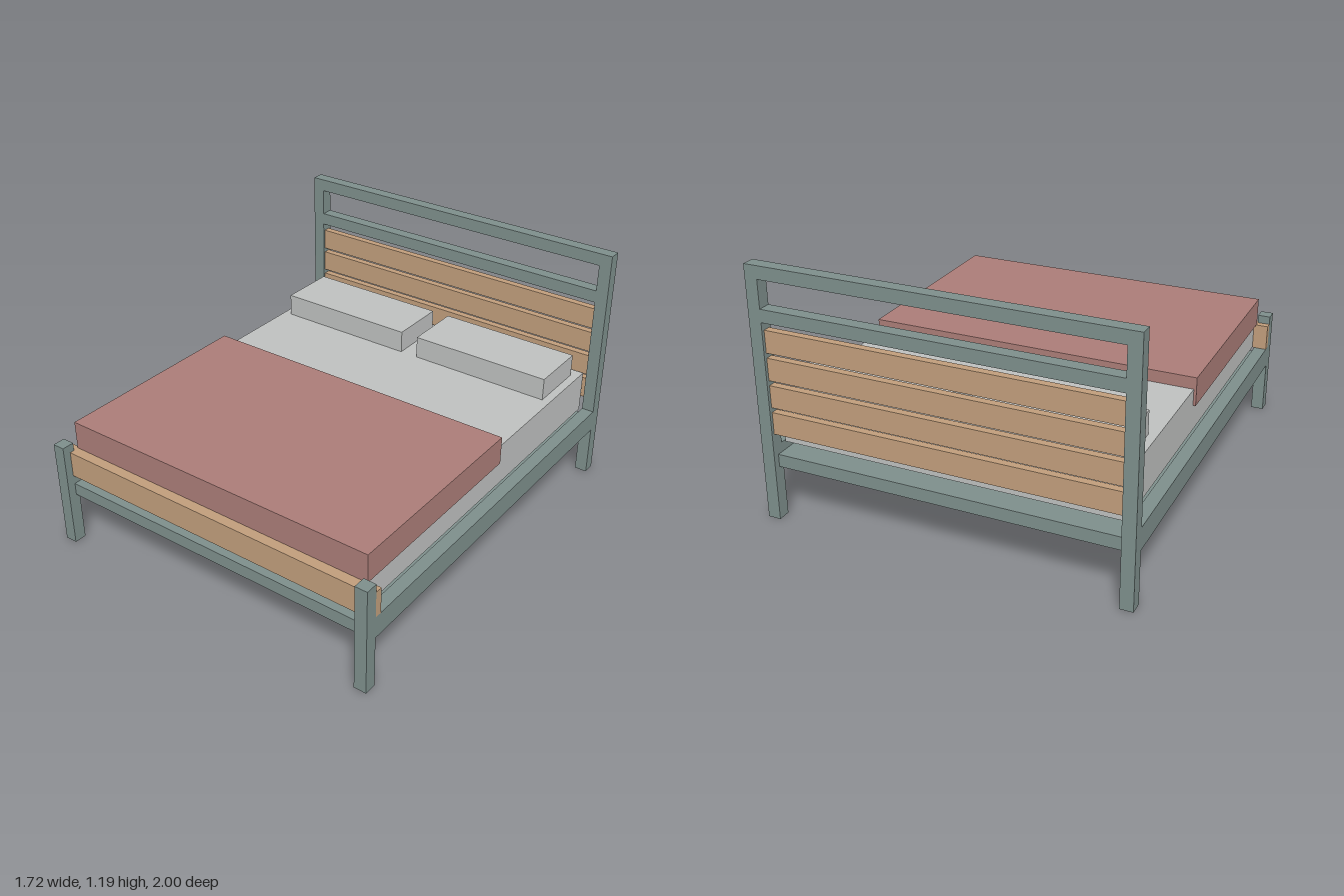
import * as THREE from 'three';

const material = (name, color) => {
  const m = new THREE.MeshStandardMaterial({ color });
  m.name = name;
  return m;
};

export function createModel() {
  const bed = new THREE.Group();
  bed.name = 'bed';

  const frame = material('greyGreenFrame', 0x7d8e8b);
  const wood = material('paleWood', 0xc09d7b);
  const linen = material('lightGreyLinen', 0xbdbfbe);
  const cloth = material('dustyRedCloth', 0xaa7c77);

  // Box given by its lower and upper limits on each axis
  const block = (name, mat, [x0, x1], [y0, y1], [z0, z1]) => {
    const mesh = new THREE.Mesh(new THREE.BoxGeometry(x1 - x0, y1 - y0, z1 - z0), mat);
    mesh.position.set((x0 + x1) / 2, (y0 + y1) / 2, (z0 + z1) / 2);
    mesh.name = name;
    bed.add(mesh);
  };
  const span = (s, a, b) => (s > 0 ? [a, b] : [-b, -a]);
  const inner = [-0.8, 0.8];

  // Posts, side rails and pillows, mirrored left and right
  for (const s of [1, -1]) {
    const side = s > 0 ? 'left' : 'right';
    block(side + 'HeadPost', frame, span(s, 0.8, 0.86), [0, 1.19], [-1, -0.94]);
    block(side + 'FootPost', frame, span(s, 0.8, 0.86), [0, 0.52], [0.94, 1]);
    block(side + 'SideRail', frame, span(s, 0.8, 0.86), [0.25, 0.355], [-0.94, 0.94]);
    block(side + 'FootboardEnd', wood, span(s, 0.8, 0.86), [0.355, 0.48], [0.905, 0.94]);
    block(side + 'Pillow', linen, span(s, 0.045, 0.75), [0.56, 0.67], [-0.87, -0.58]);
  }

  // Platform between the rails
  block('platform', frame, inner, [0.25, 0.31], [-0.97, 0.96]);

  // Headboard rails and slats
  block('headboardTopRail', frame, inner, [1.13, 1.19], [-1, -0.94]);
  block('headboardLowerRail', frame, inner, [0.94, 1.0], [-1, -0.94]);
  for (let i = 0; i < 4; i++) {
    const y = 0.797 - i * 0.127;
    block('headboardSlat' + (i + 1), wood, inner, [y, y + 0.104], [-0.985, -0.95]);
  }

  // Footboard plank
  block('footboard', wood, inner, [0.355, 0.48], [0.905, 0.963]);

  // Bedding
  block('mattress', linen, [-0.79, 0.79], [0.355, 0.56], [-0.925, 0.905]);
  block('blanket', cloth, [-0.802, 0.802], [0.481, 0.617], [-0.105, 0.915]);

  return bed;
}
